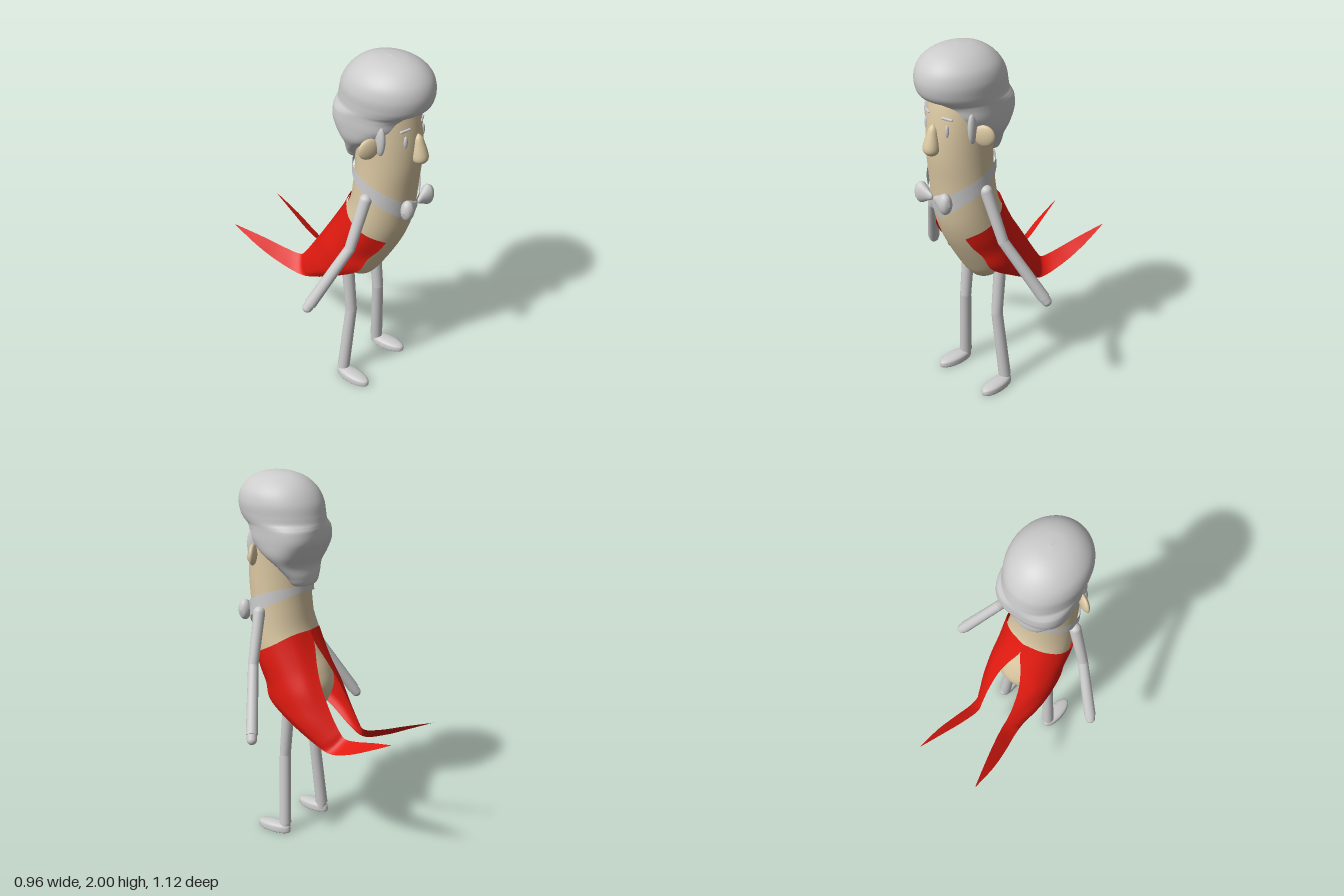
import * as THREE from 'three';

const GREY = new THREE.MeshStandardMaterial({ color: 0xcccccc });
const GREY_THIN = new THREE.MeshStandardMaterial({ color: 0xcccccc, side: THREE.DoubleSide });
const SKIN = new THREE.MeshStandardMaterial({ color: 0xdac7a2 });
const RED = new THREE.MeshStandardMaterial({ color: 0xe01a10, side: THREE.DoubleSide });
const V = (x, y, z) => new THREE.Vector3(x, y, z);

// Smooth interpolation through rows of equal length, t in 0..1
function spline(rows, t) {
  const n = rows.length - 1;
  const i = Math.min(Math.floor(t * n), n - 1);
  const f = t * n - i;
  const at = (k) => rows[Math.max(0, Math.min(n, k))];
  const [a, b, c, d] = [at(i - 1), at(i), at(i + 1), at(i + 2)];
  return b.map((v, k) => v + 0.5 * f * (c[k] - a[k]
    + f * (2 * a[k] - 5 * v + 4 * c[k] - d[k] + f * (3 * (v - c[k]) + d[k] - a[k]))));
}

// Surface from a function point(u, v); u can wrap round
function grid(nu, nv, point, wrap = false) {
  const pos = [], idx = [], cols = wrap ? nu : nu + 1;
  for (let j = 0; j <= nv; j++)
    for (let i = 0; i < cols; i++) pos.push(...point(i / nu, j / nv));
  for (let j = 0; j < nv; j++)
    for (let i = 0; i < nu; i++) {
      const a = j * cols + i, b = j * cols + (i + 1) % cols;
      idx.push(a, a + cols, b, b, a + cols, b + cols);
    }
  const g = new THREE.BufferGeometry();
  g.setAttribute('position', new THREE.Float32BufferAttribute(pos, 3));
  g.setIndex(idx);
  g.computeVertexNormals();
  return g;
}

// Point on a horizontal section [y, back z, front z, half width, squareness]; angle 0 is the back, PI the front
function ringPoint([y, back, front, w, p], angle, offset = 0) {
  const s = Math.sin(angle), c = Math.cos(angle);
  const pw = (v) => Math.sign(v) * Math.abs(v) ** p;
  return [pw(s) * (w + offset), y, (back + front) / 2 - pw(c) * ((front - back) / 2 + offset)];
}
const loft = (rows, nv) => grid(48, nv, (u, v) => ringPoint(spline(rows, v), u * Math.PI * 2), true);

const BODY = [
  [0.645, 0.19, 0.21, 0.001, 1], [0.66, 0.14, 0.245, 0.06, 1], [0.7, 0.09, 0.28, 0.113, 1], [0.75, 0.05, 0.312, 0.15, 1],
  [0.85, 0.01, 0.37, 0.178, 1], [0.95, 0.035, 0.42, 0.185, 1], [1.05, 0.09, 0.455, 0.182, 1], [1.16, 0.14, 0.475, 0.176, 1],
  [1.3, 0.16, 0.49, 0.169, 1], [1.45, 0.165, 0.505, 0.165, 1], [1.6, 0.165, 0.5, 0.163, 1], [1.75, 0.17, 0.47, 0.157, 1],
  [1.85, 0.22, 0.42, 0.12, 1], [1.88, 0.31, 0.33, 0.001, 1],
];
const HAIR = [
  [1.4, 0.16, 0.18, 0.001, 1], [1.415, 0.118, 0.21, 0.08, 1], [1.46, 0.11, 0.235, 0.115, 1], [1.52, 0.112, 0.29, 0.155, 1],
  [1.58, 0.085, 0.375, 0.188, 0.85], [1.65, 0.057, 0.44, 0.198, 0.75], [1.71, 0.055, 0.46, 0.2, 0.78],
  [1.735, 0.057, 0.488, 0.201, 0.9], [1.755, 0.06, 0.53, 0.202, 1], [1.79, 0.066, 0.553, 0.204, 1], [1.85, 0.08, 0.56, 0.205, 1],
  [1.91, 0.115, 0.54, 0.185, 1], [1.96, 0.17, 0.49, 0.135, 1], [1.99, 0.24, 0.42, 0.07, 1], [2.0, 0.325, 0.335, 0.001, 1],
];

// Body surface point at a given angle in degrees and height
function onBody(deg, y, offset) {
  const k = BODY.findIndex((r) => r[0] >= y);
  const f = (y - BODY[k - 1][0]) / (BODY[k][0] - BODY[k - 1][0]);
  const row = BODY[k].map((v, i) => THREE.MathUtils.lerp(BODY[k - 1][i], v, f));
  return ringPoint(row, deg * Math.PI / 180, offset);
}

export function createModel() {
  const model = new THREE.Group();
  const add = (name, geo, mat, pos, scale, rot) => {
    const m = new THREE.Mesh(geo, mat);
    m.name = name;
    if (pos) m.position.set(...pos);
    if (scale) m.scale.set(...scale);
    if (rot) m.rotation.set(...rot);
    model.add(m);
    return m;
  };
  const ball = new THREE.SphereGeometry(1, 24, 16);
  const limb = (name, a, b, ra, rb) => {
    const m = add(name, new THREE.CylinderGeometry(rb, ra, a.distanceTo(b), 20), GREY);
    m.position.copy(a).lerp(b, 0.5);
    m.quaternion.setFromUnitVectors(V(0, 1, 0), b.clone().sub(a).normalize());
  };
  const joint = (name, p, r) => add(name, ball, GREY, p.toArray(), [r, r, r]);
  const lathe = (profile) => new THREE.LatheGeometry(
    new THREE.SplineCurve(profile.map((p) => new THREE.Vector2(...p))).getPoints(24), 24);

  add('body', loft(BODY, 90), SKIN);
  add('hair', loft(HAIR, 90), GREY);

  // Nose: drop shape leaning back at the top
  add('nose', lathe([[0.001, 0], [0.022, 0.005], [0.038, 0.02], [0.043, 0.04], [0.039, 0.07], [0.03, 0.11], [0.02, 0.145], [0.001, 0.165]]),
    SKIN, [0, 1.462, 0.522], null, [-0.14, 0, 0]);

  // Collar: band round the neck, dipping to a point at the front
  const edges = [[1.375, 1.41], [1.345, 1.4], [1.28, 1.36], [1.2, 1.29], [1.1, 1.21]];
  add('collar', grid(72, 4, (u, v) => {
    const [lo, hi] = spline(edges, 1 - Math.abs(1 - 2 * u));
    return onBody(u * 360, THREE.MathUtils.lerp(lo, hi, v), 0.012);
  }), GREY_THIN);

  // Coat half: rows from the waist to the tail tip, each running from the back slit to the front edge
  const waist = (angles, ys) => angles.flatMap((a, i) => onBody(a, ys[i], 0.014));
  const across = (a, b) => [0, 0.25, 0.5, 0.75, 1].flatMap((t) => V(...a).lerp(V(...b), t).toArray());
  const coatRows = [
    waist([0, 36, 72, 108, 144], [1.16, 1.15, 1.1, 1.045, 0.99]),
    waist([1, 36, 72, 106, 139], [1.09, 1.08, 1.03, 0.975, 0.93]),
    waist([13, 40, 70, 100, 130], [0.98, 0.97, 0.94, 0.89, 0.86]),
    [0.072, 0.88, -0.01, 0.15, 0.86, 0.03, 0.194, 0.82, 0.1, 0.197, 0.78, 0.19, 0.167, 0.77, 0.27],
    [0.085, 0.76, -0.08, 0.13, 0.745, -0.05, 0.175, 0.72, 0, 0.193, 0.69, 0.06, 0.175, 0.675, 0.12],
    [0.086, 0.675, -0.135, 0.11, 0.65, -0.125, 0.14, 0.625, -0.1, 0.16, 0.6, -0.065, 0.157, 0.585, -0.035],
    across([0.084, 0.632, -0.18], [0.152, 0.555, -0.135]),
    across([0.106, 0.65, -0.28], [0.174, 0.597, -0.27]),
    across([0.143, 0.692, -0.41], [0.19, 0.658, -0.4]),
    across([0.188, 0.735, -0.555], [0.191, 0.735, -0.555]),
  ];

  // Bow wing: rounded cone widening outwards
  const wing = lathe([[0.001, 0], [0.014, 0.006], [0.03, 0.035], [0.052, 0.07], [0.058, 0.09], [0.04, 0.113], [0.001, 0.124]]);

  // Shoe: rounded block, flat underneath, lower at the toe
  const shoe = new THREE.SphereGeometry(1, 28, 18);
  const sp = shoe.attributes.position;
  for (let i = 0; i < sp.count; i++) {
    const z = sp.getZ(i), y = sp.getY(i);
    const h = 0.057 - 0.006 * (z + 1);
    sp.setXYZ(i, sp.getX(i) * 0.046, y < 0 ? Math.max(y, -0.25) * 0.05 + 0.0125 : 0.0125 + Math.sqrt(y) * (h - 0.0125), z * 0.108);
  }
  shoe.computeVertexNormals();

  for (const s of [1, -1]) {
    const side = s > 0 ? 'left' : 'right';

    add(side + 'CoatTail', grid(20, 64, (u, v) => {
      const r = spline(coatRows, v);
      const [x, y, z] = spline([0, 3, 6, 9, 12].map((k) => r.slice(k, k + 3)), u);
      return [s * x, y, z];
    }), RED);

    // Head details
    add(side + 'Ear', ball, SKIN, [s * 0.2, 1.58, 0.348], [0.056, 0.057, 0.02], [0, s * 0.5, 0]);
    add(side + 'Sideburn', ball, GREY, [s * 0.158, 1.62, 0.385], [0.02, 0.085, 0.032], [0, s * 0.3, 0]);
    add(side + 'Eye', ball, GREY, [s * 0.077, 1.603, 0.478], [0.011, 0.034, 0.01], [0, s * 0.4, 0]);
    add(side + 'Brow', new THREE.CapsuleGeometry(0.007, 0.048, 4, 10), GREY, [s * 0.074, 1.665, 0.472], null, [0, s * 0.4, Math.PI / 2 - s * 0.08]);
    add(side + 'BowWing', wing, GREY, [s * 0.005, 1.225, 0.515], [1, 1, 0.6], [0, 0, -s * Math.PI / 2]);

    // Arm
    const shoulder = V(s * 0.185, 1.265, 0.325), elbow = V(s * 0.275, 1.0, 0.295);
    const wrist = V(s * 0.44, 0.685, 0.165), hand = V(s * 0.452, 0.662, 0.155);
    joint(side + 'Shoulder', shoulder, 0.032);
    limb(side + 'UpperArm', shoulder, elbow, 0.032, 0.028);
    joint(side + 'Elbow', elbow, 0.028);
    limb(side + 'Forearm', elbow, wrist, 0.028, 0.032);
    limb(side + 'Hand', wrist, hand, 0.028, 0.027);
    joint(side + 'Fingertips', hand, 0.027);

    // Leg
    const hip = V(s * 0.125, 0.78, 0.175), knee = V(s * 0.128, 0.455, 0.205);
    const ankle = V(s * 0.163, 0.055, 0.182), foot = V(s * 0.165, 0.02, 0.182);
    limb(side + 'Thigh', hip, knee, 0.034, 0.031);
    joint(side + 'Knee', knee, 0.031);
    limb(side + 'Shin', knee, ankle, 0.031, 0.034);
    limb(side + 'Ankle', ankle, foot, 0.029, 0.029);
    add(side + 'Shoe', shoe, GREY, [s * 0.173, 0, 0.253], null, [0, s * 0.06, 0]);
  }
  return model;
}
